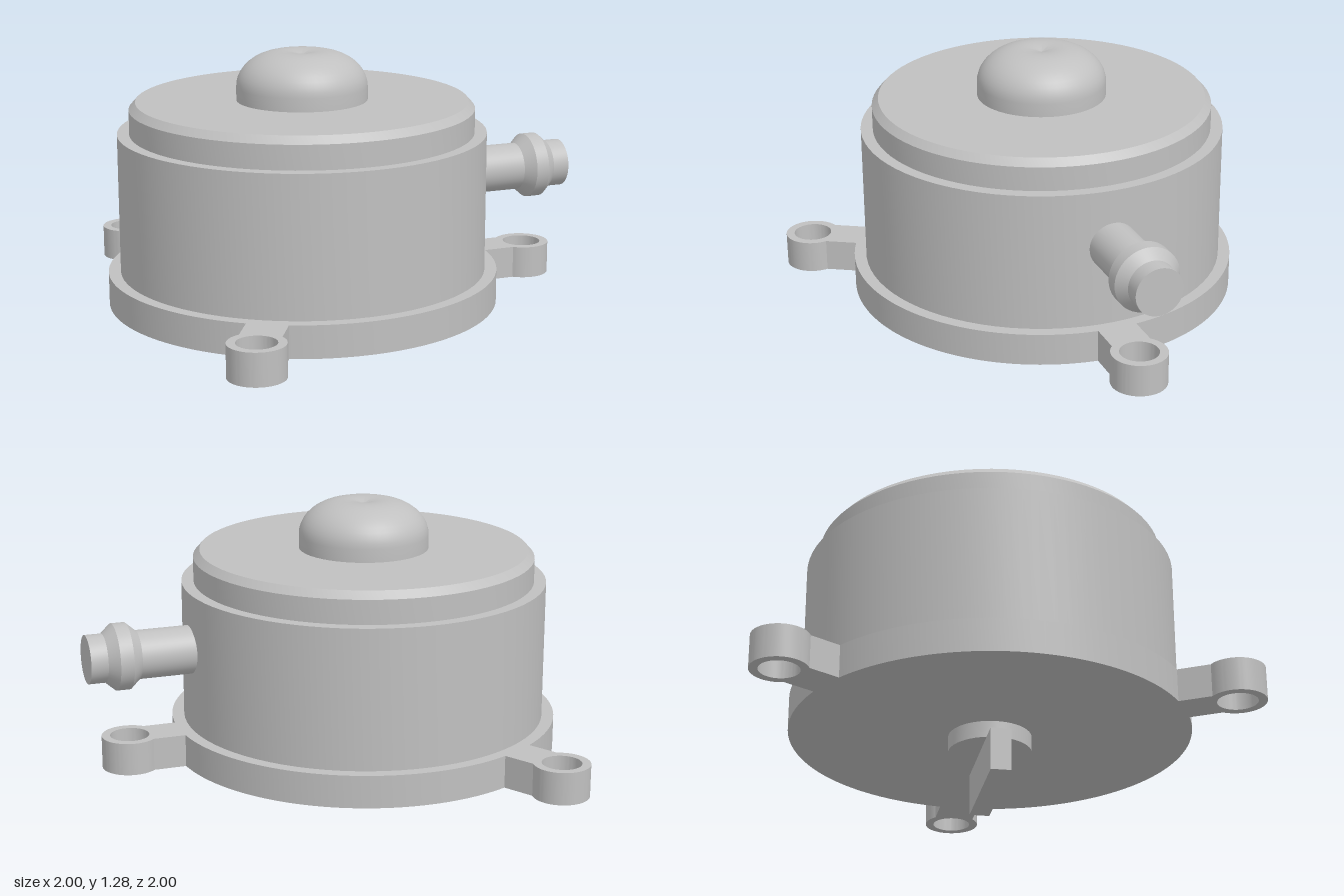
import * as THREE from 'three';
import { toCreasedNormals } from 'three/addons/utils/BufferGeometryUtils.js';

const CX = -0.19; // main axis of the housing

export function createModel() {
  const group = new THREE.Group();
  const grey = new THREE.MeshStandardMaterial({ color: 0xc0c0c0 });
  grey.name = 'metal grey';

  function add(name, geometry, x, y) {
    const mesh = new THREE.Mesh(toCreasedNormals(geometry, 0.5), grey);
    mesh.name = name;
    mesh.position.set(x, y, 0);
    group.add(mesh);
    return mesh;
  }
  const lathe = (points, segments) =>
    new THREE.LatheGeometry(points.map(([r, y]) => new THREE.Vector2(r, y)), segments);

  // Base flange with three drilled lugs, 120 degrees apart
  const R = 0.81, lugDistance = 1.02, lugR = 0.115, holeR = 0.08, armHalf = 0.083;
  const flange = new THREE.Shape();
  const dA = Math.asin(armHalf / R), dL = Math.asin(armHalf / lugR);
  for (let i = 0; i < 3; i++) {
    const a = (i * Math.PI * 2) / 3;
    const lx = lugDistance * Math.cos(a), ly = lugDistance * Math.sin(a);
    // absarc joins to the preceding arc with a straight arm edge
    flange.absarc(lx, ly, lugR, a - Math.PI + dL, a + Math.PI - dL, false);
    flange.absarc(0, 0, R, a + dA, a + (Math.PI * 2) / 3 - dA, false);
    const hole = new THREE.Path();
    hole.absarc(lx, ly, holeR, 0, Math.PI * 2, true);
    flange.holes.push(hole);
  }
  const flangeGeometry = new THREE.ExtrudeGeometry(flange, {
    depth: 0.135, bevelEnabled: false, curveSegments: 32,
  });
  flangeGeometry.rotateX(-Math.PI / 2);
  add('baseFlange', flangeGeometry, CX, 0.24);

  // Housing and stepped, chamfered lid
  add('housing', lathe([[0, 0.37], [0.76, 0.37], [0.76, 0.955], [0, 0.955]], 80), CX, 0);
  add('lid', lathe([[0, 0.95], [0.71, 0.95], [0.71, 1.055], [0.683, 1.085], [0, 1.085]], 80), CX, 0);

  // Domed cap: short rim, rounded shoulder and a slight dip at the centre
  const dome = [[0.27, 1.08], [0.27, 1.14]];
  for (let i = 1; i <= 14; i++) {
    const t = (i / 14) * 2.06;
    dome.push([Math.max(0, 0.085 + 0.185 * Math.cos(t)), 1.14 + 0.145 * Math.sin(t)]);
  }
  dome[dome.length - 1][0] = 0;
  add('domeCap', lathe(dome, 48), CX, 0);

  // Hose nozzle with a barb, pointing to +x
  const nozzle = add('nozzle', lathe([
    [0, 0.5], [0.1, 0.5], [0.1, 0.79], [0.137, 0.832],
    [0.137, 0.888], [0.1, 0.93], [0.1, 1], [0, 1],
  ], 40), 0, 0.715);
  nozzle.rotation.z = -Math.PI / 2;

  // Drive shaft and flat blade underneath
  add('shaft', new THREE.CylinderGeometry(0.168, 0.168, 0.08, 48), CX, 0.212);
  add('driveBlade', new THREE.BoxGeometry(0.51, 0.173, 0.082), CX, 0.0865);

  return group;
}
